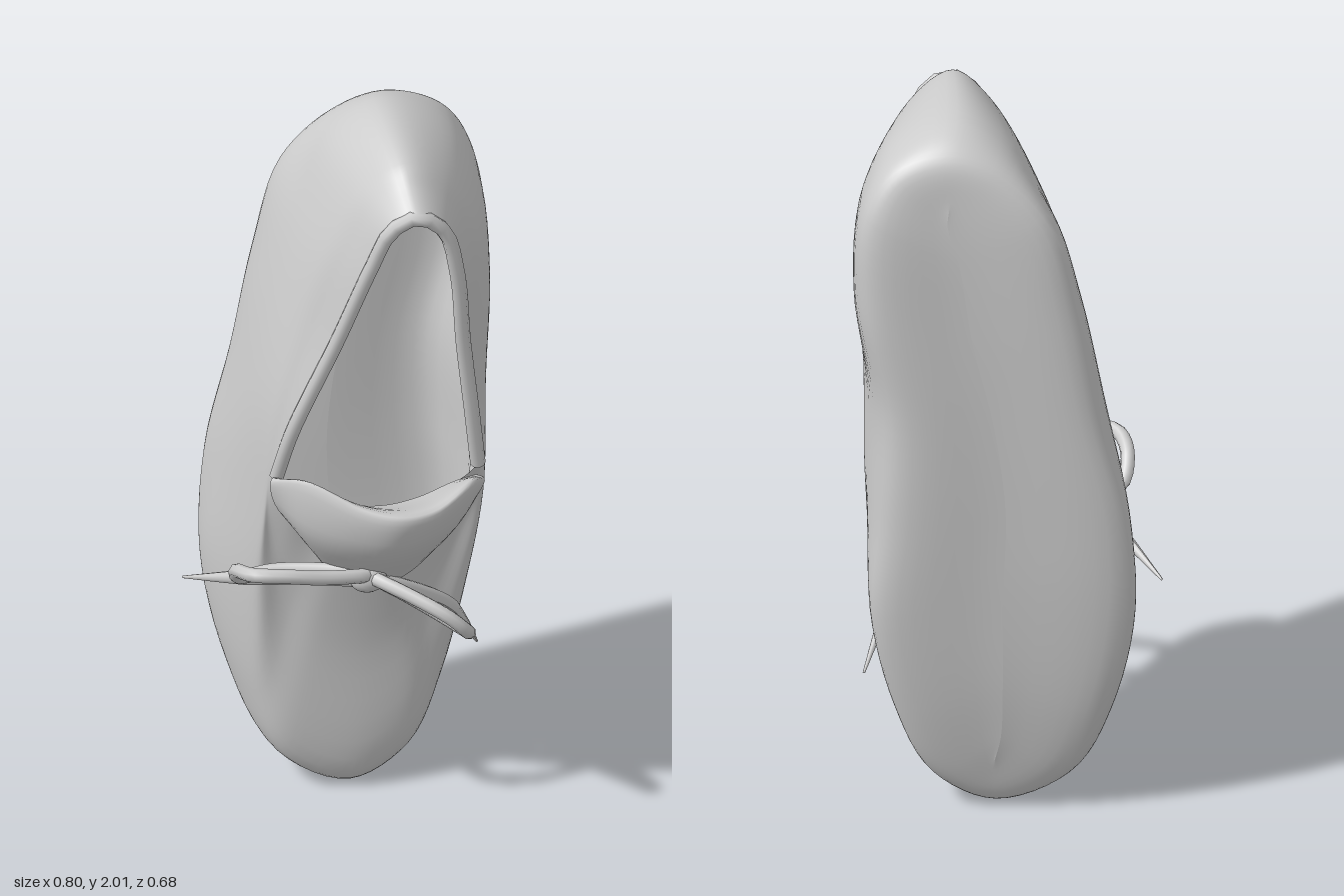
import * as THREE from 'three';

const V = (p) => new THREE.Vector3(...p);
const mat = new THREE.MeshStandardMaterial({ color: 0xcccccc, side: THREE.DoubleSide });

function add(group, name, geometry) {
  const mesh = new THREE.Mesh(geometry, mat);
  mesh.name = name;
  group.add(mesh);
  return mesh;
}

// Smooth skin through a list of matching curves
function loft(layers, nu, nv, closed) {
  // equal parameter steps keep the stations of all layers aligned
  const rows = layers.map((l) => new THREE.CatmullRomCurve3(l, closed, 'centripetal').getPoints(nu));
  const pos = [], idx = [];
  const cols = closed ? nu : nu + 1;
  for (let i = 0; i < cols; i++) {
    const c = new THREE.CatmullRomCurve3(rows.map((r) => r[i]), false, 'centripetal');
    c.getPoints(nv).forEach((p) => pos.push(p.x, p.y, p.z));
  }
  for (let i = 0; i < nu; i++) {
    for (let j = 0; j < nv; j++) {
      const a = i * (nv + 1) + j, b = ((i + 1) % cols) * (nv + 1) + j;
      idx.push(a, a + 1, b, b, a + 1, b + 1);
    }
  }
  const g = new THREE.BufferGeometry();
  g.setAttribute('position', new THREE.Float32BufferAttribute(pos, 3));
  g.setIndex(idx);
  g.computeVertexNormals();
  return g;
}

// Cord along a path; taper shrinks its far end to a point
function cord(points, radius, closed = false, taper = false) {
  const curve = new THREE.CatmullRomCurve3(points.map(V), closed);
  const n = 40, sides = 8;
  const g = new THREE.TubeGeometry(curve, n, radius, sides, closed);
  if (taper) {
    const p = g.attributes.position, v = new THREE.Vector3();
    for (let i = 0; i <= n; i++) {
      const c = curve.getPointAt(i / n);
      const s = Math.min(1, 0.15 + 2 * (1 - i / n));
      for (let j = 0; j <= sides; j++) {
        const k = i * (sides + 1) + j;
        v.fromBufferAttribute(p, k).sub(c).multiplyScalar(s).add(c);
        p.setXYZ(k, v.x, v.y, v.z);
      }
    }
    g.computeVertexNormals();
  }
  return g;
}

// Outlines run from the heel down the +x side to the toe and back up
const SOLE = [
  [.15, 1.94, -.285], [.285, 1.895, -.29], [.355, 1.77, -.31], [.358, 1.5, -.318], [.3, 1.2, -.322],
  [.31, .9, -.322], [.335, .6, -.312], [.27, .3, -.285], [.18, .1, -.25], [.03, .015, -.23],
  [-.15, .1, -.25], [-.25, .3, -.285], [-.315, .6, -.31], [-.305, .9, -.32], [-.235, 1.2, -.322],
  [-.18, 1.5, -.318], [-.11, 1.76, -.31], [.02, 1.9, -.29]].map(V);
const WIDEST = [
  [.13, 2, -.17], [.3, 1.92, -.17], [.375, 1.77, -.14], [.395, 1.5, -.09], [.37, 1.2, -.06],
  [.367, .9, -.09], [.345, .6, -.14], [.29, .3, -.15], [.2, .1, -.13], [.02, 0, -.14],
  [-.18, .1, -.15], [-.275, .3, -.2], [-.33, .6, -.225], [-.295, .9, -.17], [-.24, 1.2, -.12],
  [-.175, 1.5, -.12], [-.1, 1.75, -.14], [-.005, 1.925, -.17]].map(V);
const UPPER = [
  [.14, 1.98, .12], [.26, 1.9, .09], [.335, 1.74, .06], [.365, 1.5, .04], [.365, 1.2, .03],
  [.36, .9, .03], [.32, .6, -.01], [.25, .3, -.03], [.17, .11, -.02], [.02, .02, -.015],
  [-.15, .11, -.02], [-.22, .3, -.03], [-.24, .6, 0], [-.225, .9, .04], [-.2, 1.2, .05],
  [-.13, 1.5, .05], [-.05, 1.74, .07], [.04, 1.91, .09]].map(V);
const RIM = [
  [.15, 1.9, .255], [.22, 1.85, .245], [.26, 1.7, .22], [.285, 1.45, .17], [.315, 1.2, .13],
  [.335, 1.03, .1], [.25, .96, .1], [.17, .94, .11], [.12, .93, .12], [.06, .93, .12],
  [0, .94, .12], [-.06, .95, .11], [-.13, .97, .11], [-.19, 1.04, .09], [-.155, 1.2, .13],
  [-.045, 1.5, .18], [.035, 1.74, .225], [.085, 1.86, .245]].map(V);

// Halfway between upper edge and opening, pressed flat over the toes
const VAMP = UPPER.map((p, i) => {
  const m = p.clone().lerp(RIM[i], 0.5);
  if (i > 5 && i < 13) m.z -= 0.016;
  return m;
});

export function createModel() {
  const shoe = new THREE.Group();
  shoe.name = 'slipOnShoe';

  // Centre line of the sole, curving up mostly at the toe
  const spine = SOLE.map((p, i) => {
    const m = p.clone().add(SOLE[(18 - i) % 18]).multiplyScalar(0.5);
    m.y = 1 + (m.y - 1) * 0.85;
    m.z = -0.326 + (m.y < 1 ? 0.09 : 0.03) * (m.y - 1) ** 4;
    return m;
  });
  add(shoe, 'soleAndUpper', loft([spine, SOLE, WIDEST, UPPER, VAMP, RIM], 108, 40, true));

  // Inside walls and insole
  const inset = (loop, k, dz) => loop.map((p, i) => p.clone().lerp(spine[i], k).setZ(p.z + dz));
  const insole = spine.map((p) => p.clone().setZ(p.z + 0.05));
  add(shoe, 'liningAndInsole', loft([
    RIM, inset(VAMP, 0.07, -0.03), inset(UPPER, 0.1, -0.03), inset(WIDEST, 0.1, 0), inset(SOLE, 0.12, 0.05), insole,
  ], 108, 25, true));

  // Rolled binding around the foot opening
  const binding = [13, 14, 15, 16, 17, 0, 1, 2, 3, 4, 5].map((i) => [RIM[i].x, RIM[i].y - 0.008, RIM[i].z - 0.008]);
  add(shoe, 'openingBinding', cord(binding, 0.02));

  // Tongue flap curling forward over the vamp
  const flap = [
    [[-.09, .79, .07], [-.06, .74, .1], [0, .71, .12], [.07, .7, .13], [.13, .71, .12], [.19, .74, .1], [.25, .79, .07]],
    [[-.2, .96, .1], [-.13, .92, .19], [-.01, .91, .27], [.09, .91, .3], [.18, .91, .27], [.27, .92, .2], [.345, .94, .09]],
    [[-.21, 1.04, .11], [-.13, 1.075, .19], [0, 1.035, .285], [.09, 1.02, .315], [.19, 1.015, .29], [.3, 1.04, .21], [.35, .98, .1]],
    [[-.18, 1.03, .08], [-.12, .97, .1], [0, .94, .11], [.09, .93, .11], [.18, .94, .1], [.27, .97, .09], [.33, .98, .08]],
  ].map((row) => row.reverse().map(V));
  add(shoe, 'tongueFlap', loft(flap, 32, 18, false));

  // Lace tied in a bow: knot, two loops, two tapering ends
  const bow = new THREE.Group();
  bow.name = 'laceBow';
  shoe.add(bow);
  const knot = add(bow, 'knot', new THREE.SphereGeometry(0.045, 16, 12));
  knot.position.set(0.03, 0.765, 0.19);
  knot.scale.set(1.1, 0.9, 0.8);
  add(bow, 'rightLoop', cord([
    [.03, .78, .2], [-.1, .815, .25], [-.2, .84, .265], [-.28, .84, .245],
    [-.31, .81, .17], [-.29, .75, .11], [-.2, .755, .1], [-.05, .77, .15]], 0.019, true));
  add(bow, 'leftLoop', cord([
    [.04, .77, .2], [.14, .745, .28], [.22, .705, .32], [.27, .65, .31],
    [.275, .61, .24], [.22, .63, .19], [.13, .69, .17]], 0.019, true));
  add(bow, 'rightEnd', cord([
    [.02, .76, .19], [-.1, .75, .14], [-.21, .73, .09], [-.29, .68, 0], [-.4, .61, -.13]], 0.022, false, true));
  add(bow, 'leftEnd', cord([
    [.04, .76, .19], [.15, .68, .13], [.25, .58, .05], [.32, .45, -.05], [.37, .33, -.13]], 0.022, false, true));

  return shoe;
}
